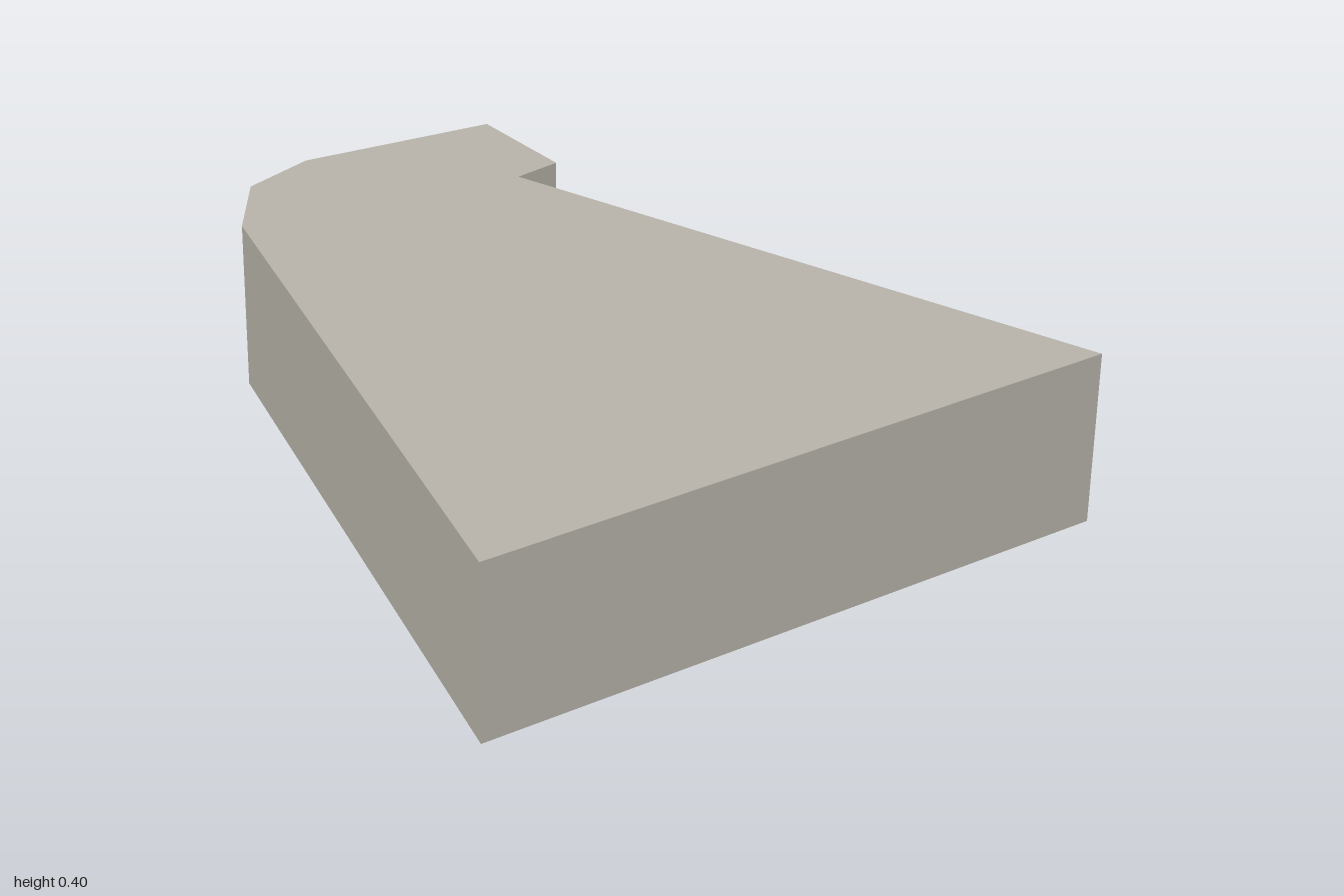
import * as THREE from 'three';

const HEIGHT = 0.4;

// Outline of the slab seen from above, as [x, z]
const OUTLINE = [
  [-1, -0.4], [-0.8, -0.84], [-0.52, -0.75], [-0.54, -0.63],
  [1, -0.63], [0.505, 0.84], [-0.865, -0.025], [-1, -0.205],
];

export function createModel() {
  const stone = new THREE.MeshStandardMaterial({ color: 0xb8b4aa });
  stone.name = 'warm grey';

  // Extrude the outline and lay it flat on the ground
  const shape = new THREE.Shape(OUTLINE.map(([x, z]) => new THREE.Vector2(x, -z)));
  const geometry = new THREE.ExtrudeGeometry(shape, { depth: HEIGHT, bevelEnabled: false });
  geometry.rotateX(-Math.PI / 2);

  const slab = new THREE.Mesh(geometry, stone);
  slab.name = 'slab';

  const model = new THREE.Group();
  model.name = 'angular block';
  model.add(slab);
  return model;
}
